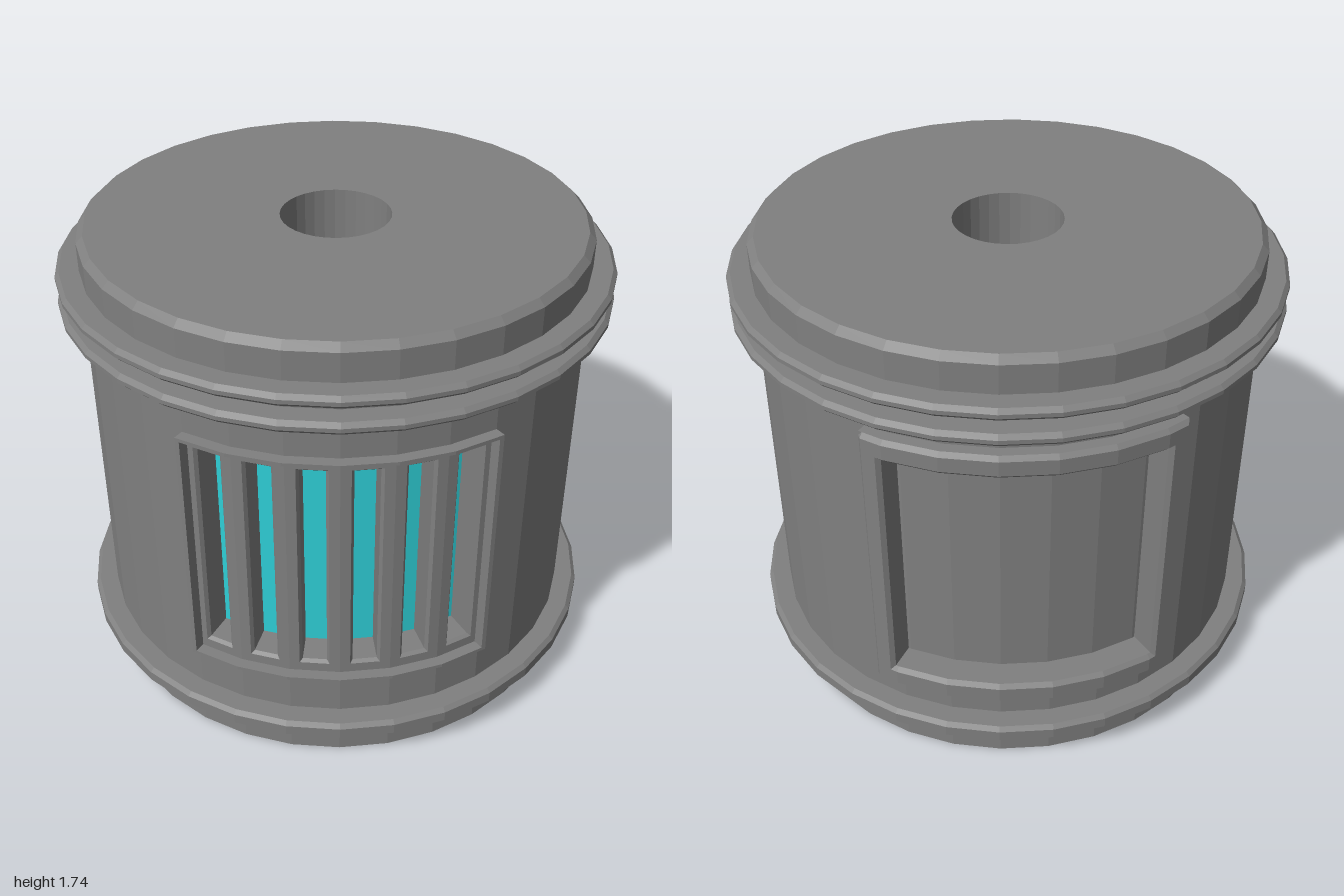
import * as THREE from 'three';

const SEG = 32, STEP = 360 / SEG, R = 0.915;
const rad = THREE.MathUtils.degToRad;

// flat-shaded geometry from a list of quads and triangles (corner arrays)
function fromFaces(faces) {
  const pos = [];
  for (const f of faces)
    for (let k = 1; k < f.length - 1; k++) pos.push(...f[0], ...f[k], ...f[k + 1]);
  const g = new THREE.BufferGeometry();
  g.setAttribute('position', new THREE.Float32BufferAttribute(pos, 3));
  g.computeVertexNormals();
  return g;
}

// full faceted turn of a profile
function turned(points) {
  const g = new THREE.LatheGeometry(points.map(p => new THREE.Vector2(...p)), SEG).toNonIndexed();
  g.computeVertexNormals();
  return g;
}

// point on the faceted drum: the radius follows the flat sides between corners
function polar(a, r, y) {
  const m = ((a % STEP) + STEP) % STEP;
  const s = r * Math.cos(rad(STEP / 2)) / Math.cos(rad(m - STEP / 2));
  return [s * Math.sin(rad(a)), y, s * Math.cos(rad(a))];
}

// curved block between two angles, two heights and two radii, with bevelled outer edges
function arcBlock(a0, a1, y0, y1, r0, r1, b = 0) {
  const d = THREE.MathUtils.radToDeg(b / r1);
  const stops = [a0, a1];
  if (b) stops.push(a0 + d, a1 - d);
  for (let a = Math.ceil(a0 / STEP) * STEP; a < a1; a += STEP)
    if (a > a0 + d + 0.01 && a < a1 - d - 0.01) stops.push(a);
  stops.sort((p, q) => p - q);
  const loops = stops.map((a, i) => {
    const end = i === 0 || i === stops.length - 1;
    const top = end ? r1 - b : r1;
    const prof = b
      ? [[r0, y0], [r1 - b, y0], [top, y0 + b], [top, y1 - b], [r1 - b, y1], [r0, y1]]
      : [[r0, y0], [r1, y0], [r1, y1], [r0, y1]];
    return prof.map(([r, y]) => polar(a, r, y));
  });
  const faces = [loops[0], [...loops[loops.length - 1]].reverse()];
  for (let i = 0; i < loops.length - 1; i++) {
    const p = loops[i], q = loops[i + 1], n = p.length;
    for (let j = 0; j < n; j++) faces.push([p[j], q[j], q[(j + 1) % n], p[(j + 1) % n]]);
  }
  return fromFaces(faces);
}

// inward-facing walls through rectangles given as [halfWidth, bottom, top, z]
function slotWalls(rects) {
  const loops = rects.map(([w, b, t, z]) => [[-w, b, z], [w, b, z], [w, t, z], [-w, t, z]]);
  const faces = [];
  for (let i = 0; i < loops.length - 1; i++)
    for (let j = 0; j < 4; j++) {
      const k = (j + 1) % 4, p = loops[i], q = loops[i + 1];
      faces.push([p[j], p[k], q[k], q[j]]);
    }
  return fromFaces(faces);
}

export function createModel() {
  const model = new THREE.Group();
  model.name = 'drum';
  const grey = new THREE.MeshStandardMaterial({ color: 0x808080 });
  grey.name = 'grey metal';
  const cyan = new THREE.MeshStandardMaterial({ color: 0x2fd0d8 });
  cyan.name = 'cyan glow';
  const add = (name, geo, mat = grey, parent = model) => {
    const m = new THREE.Mesh(geo, mat);
    m.name = name;
    parent.add(m);
    return m;
  };

  const LOW = 0.31, HIGH = 1.41;
  const FRONT = 3 * STEP;              // half-angle of the grille
  const B0 = 180 - 28.1, B1 = 180 + 39.4; // edges of the rear frame

  // drum: base, cap with central well, and side walls
  add('base', turned([[0, 0], [R, 0], [R, LOW]]));
  add('cap', turned([[R, HIGH], [R, 1.715], [0.89, 1.74], [0.2, 1.74], [0.2, 1.24], [0, 1.24]]));
  add('leftWall', arcBlock(FRONT, B0, LOW, HIGH, 0.8, R));
  add('rightWall', arcBlock(B1, 360 - FRONT, LOW, HIGH, 0.8, R));

  // bevelled hoops
  for (const [y0, y1] of [[0.135, 0.205], [1.47, 1.515], [1.565, 1.61]]) {
    const b = 0.015;
    add('hoop', turned([[0.9, y0], [1 - b, y0], [1, y0 + b], [1, y1 - b], [1 - b, y1], [0.9, y1]]));
  }

  // grille: one flat slotted panel per side of the drum
  const z = R * Math.cos(rad(STEP / 2)), half = R * Math.sin(rad(STEP / 2));
  const rect = (Type, w, b, t) => {
    const s = new Type();
    s.moveTo(-w, b); s.lineTo(w, b); s.lineTo(w, t); s.lineTo(-w, t); s.closePath();
    return s;
  };
  const panel = rect(THREE.Shape, half, LOW, HIGH);
  panel.holes.push(rect(THREE.Path, 0.053, 0.43, 1.28));
  const panelGeo = new THREE.ShapeGeometry(panel).translate(0, 0, z);
  const wallGeo = slotWalls([
    [0.053, 0.43, 1.28, z], [0.043, 0.44, 1.27, z - 0.012], [0.043, 0.44, 1.27, z - 0.115]]);
  const glowGeo = new THREE.PlaneGeometry(0.086, 0.83).translate(0, 0.855, z - 0.114);
  for (let i = 0; i < 6; i++) {
    const slot = new THREE.Group();
    slot.name = 'grilleSlot';
    slot.rotation.y = rad((i - 2.5) * STEP);
    add('grillePanel', panelGeo, grey, slot);
    add('slotWalls', wallGeo, grey, slot);
    add('slotGlow', glowGeo, cyan, slot);
    model.add(slot);
  }

  // thin raised lip around the grille
  const lip = (a0, a1, y0, y1) => add('grilleLip', arcBlock(a0, a1, y0, y1, 0.89, 0.955));
  lip(-FRONT, FRONT, 0.38, 0.393);
  lip(-FRONT, FRONT, 1.317, 1.33);
  lip(-FRONT, -FRONT + 1, 0.38, 1.33);
  lip(FRONT - 1, FRONT, 0.38, 1.33);

  // rear frame around a sunken panel
  add('rearPanel', arcBlock(B0, B1, LOW, HIGH, 0.78, 0.86));
  const bar = (a0, a1, y0, y1) => add('rearFrame', arcBlock(a0, a1, y0, y1, 0.82, 0.97, 0.015));
  bar(B0, B1, LOW, 0.395);
  bar(B0, B1, 1.325, HIGH);
  bar(B0, B0 + 4.9, LOW, HIGH);
  bar(B1 - 4.9, B1, LOW, HIGH);

  return model;
}
